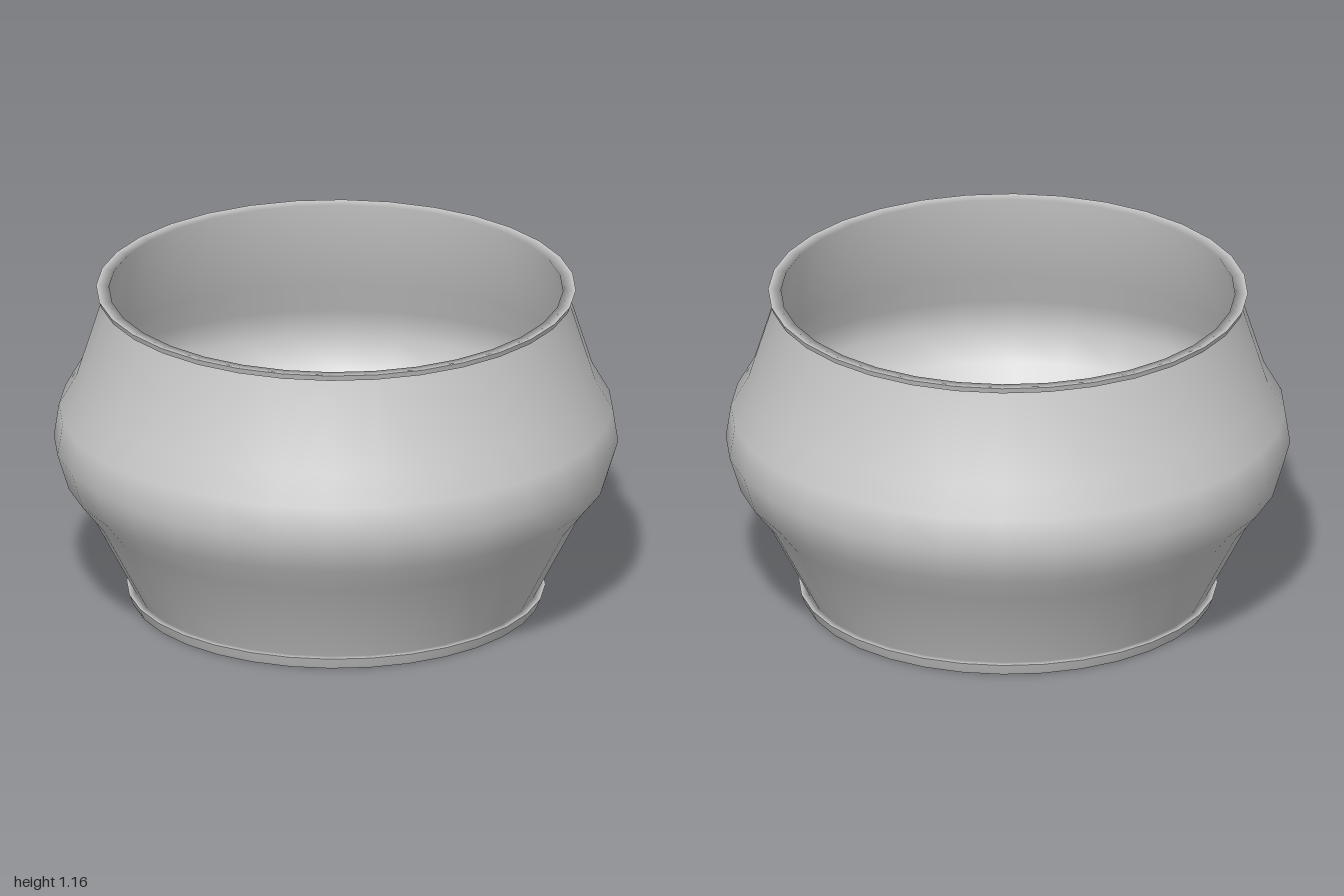
import * as THREE from 'three';

const SIDES = 32;

export function createModel() {
  const group = new THREE.Group();
  const material = new THREE.MeshStandardMaterial({ color: 0xcccccc });

  // Turn a [radius, height] profile around the vertical axis
  function turned(name, profile) {
    const points = profile.map(([r, y]) => new THREE.Vector2(r, y));
    const mesh = new THREE.Mesh(new THREE.LatheGeometry(points, SIDES), material);
    mesh.name = name;
    group.add(mesh);
  }

  // Flat underside and the edge of the thin flared foot
  turned('underside', [[0, 0], [0.725, 0]]);
  turned('footEdge', [[0.725, 0], [0.73, 0.01], [0.742, 0.042]]);

  // Outer wall: foot top, tapered base, rounded belly, sloping neck, lip underside
  turned('outerWall', [
    [0.742, 0.042], [0.715, 0.042], [0.88, 0.36], [0.96, 0.46], [1, 0.59],
    [0.982, 0.71], [0.92, 0.82], [0.82, 1.14], [0.843, 1.142],
  ]);

  // Rim edge and its flat top
  turned('rimEdge', [[0.843, 1.142], [0.85, 1.163]]);

  // Inside of the thin wall, following the outside from the rim down to the floor
  turned('innerWall', [
    [0.85, 1.163], [0.804, 1.16], [0.9, 0.82], [0.962, 0.7], [0.98, 0.59],
    [0.94, 0.47], [0.86, 0.37], [0.7, 0.03], [0, 0.02],
  ]);

  return group;
}
